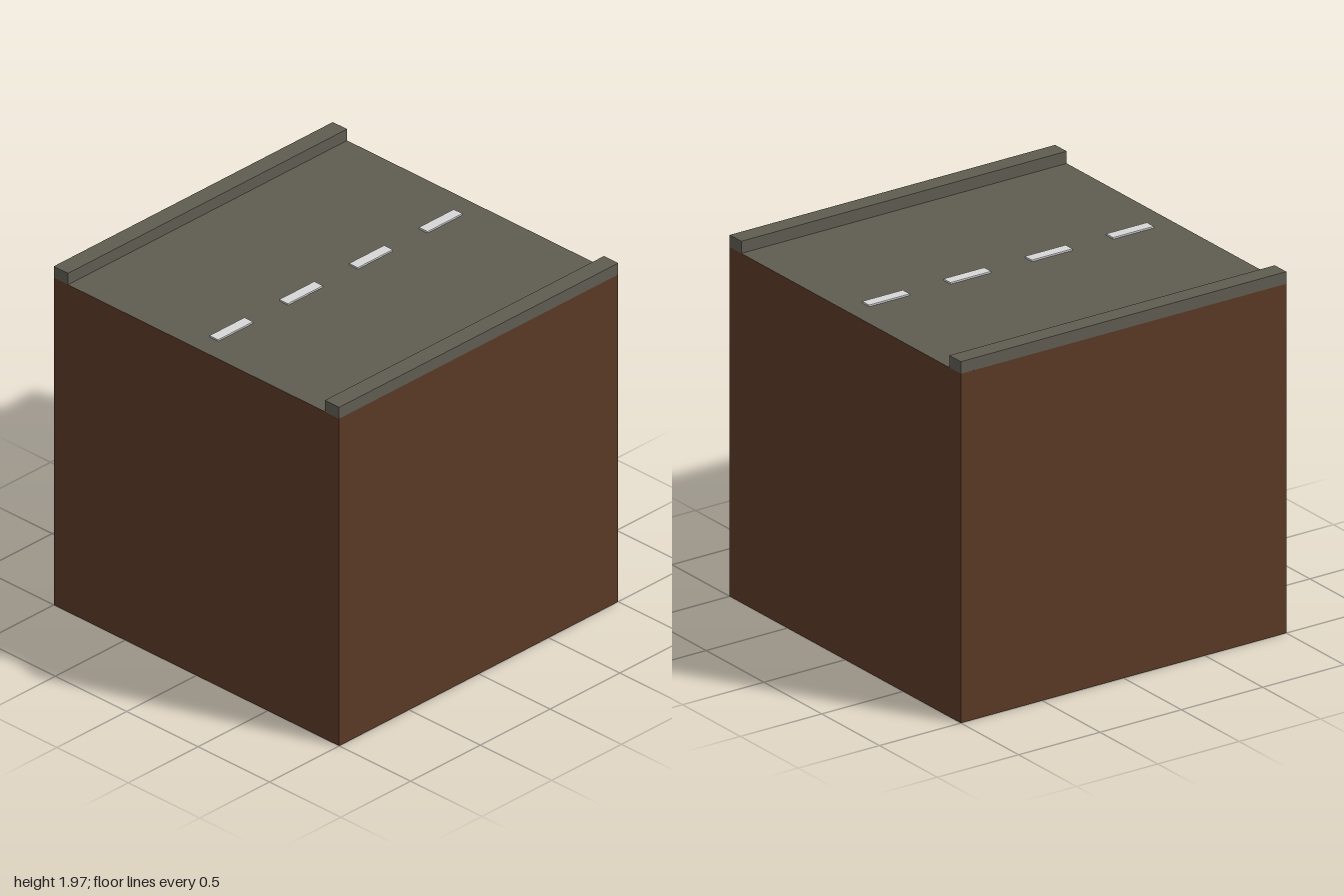
import * as THREE from 'three';

export function createModel() {
  const group = new THREE.Group();
  const material = (name, color) => {
    const m = new THREE.MeshStandardMaterial({ color });
    m.name = name;
    return m;
  };
  const earth = material('earth brown', 0x5a3825);
  const asphalt = material('asphalt grey', 0x5f5c51);
  const paint = material('road paint', 0xd6d6d6);

  const addBox = (name, size, position, mat) => {
    const mesh = new THREE.Mesh(new THREE.BoxGeometry(...size), mat);
    mesh.name = name;
    mesh.position.set(...position);
    group.add(mesh);
  };

  // Earth block whose top face is the road surface
  const faces = [earth, earth, asphalt, earth, earth, earth];
  addBox('groundBlock', [2, 1.9, 2], [0, 0.95, 0], faces);

  // Raised kerbs along the front and back edges
  for (const [name, side] of [['frontKerb', 1], ['backKerb', -1]]) {
    addBox(name, [2, 0.066, 0.1], [0, 1.933, side * 0.95], asphalt);
  }

  // Dashed centre line
  for (let i = 0; i < 4; i++) {
    addBox(`laneDash${i + 1}`, [0.25, 0.009, 0.06], [-0.75 + i * 0.5, 1.9045, 0], paint);
  }

  return group;
}
